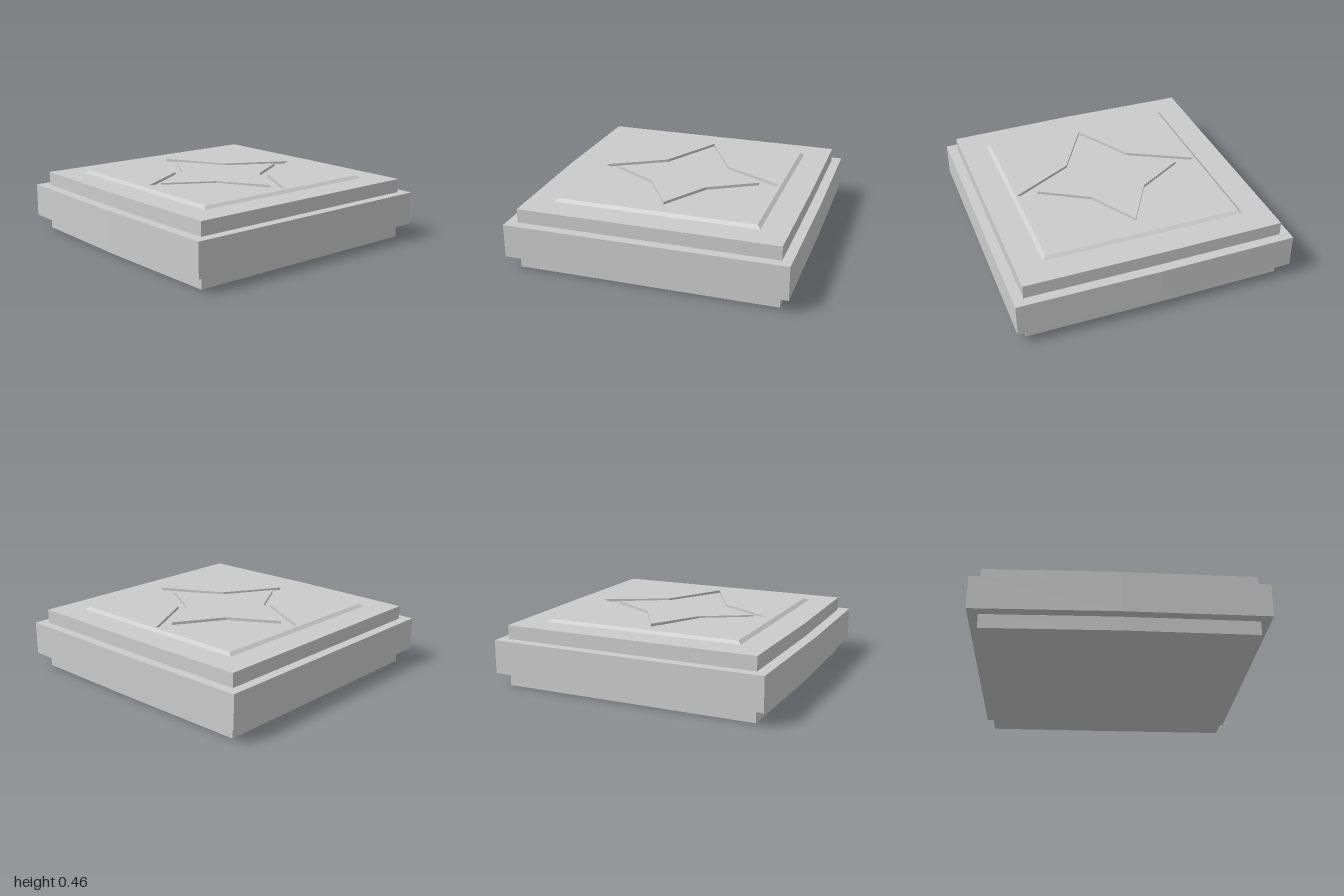
import * as THREE from 'three';

const material = new THREE.MeshStandardMaterial({ color: 0xcccccc, flatShading: true });

// Points are given as [x, z] on the ground plane
const toPoints = (list) => list.map(([x, z]) => new THREE.Vector2(x, -z));

// Upright slab with the given plan, from y0 to y1
function slab(name, plan, y0, y1, hole) {
  const shape = new THREE.Shape(toPoints(plan));
  if (hole) shape.holes.push(new THREE.Path(toPoints(hole)));
  const geometry = new THREE.ExtrudeGeometry(shape, { depth: y1 - y0, bevelEnabled: false });
  geometry.rotateX(-Math.PI / 2);
  geometry.translate(0, y0, 0);
  const mesh = new THREE.Mesh(geometry, material);
  mesh.name = name;
  return mesh;
}

// Square plan whose front and back edges bow out slightly in the middle
const bowedSquare = (half, front, back, bowFront, bowBack) => [
  [-half, front], [0, front + bowFront], [half, front],
  [half, back], [0, back - bowBack], [-half, back],
];

// Four-pointed star, mirrored left to right
const star = (backTip, sideTip, frontTip, notchX, notchBack, notchFront) => [
  [0, frontTip], [notchX, notchFront], [sideTip, -0.01], [notchX, notchBack],
  [0, backTip], [-notchX, notchBack], [-sideTip, -0.01], [-notchX, notchFront],
];

// Pushes the corners at one height outward for slightly sloping sides
function flareCorners(mesh, y, limit, factor) {
  const p = mesh.geometry.attributes.position;
  for (let i = 0; i < p.count; i++) {
    const x = p.getX(i), z = p.getZ(i);
    if (Math.abs(p.getY(i) - y) < 0.001 && Math.abs(x) > limit && Math.abs(z) > limit) {
      p.setXYZ(i, x * factor, p.getY(i), z * factor);
    }
  }
  mesh.geometry.computeVertexNormals();
}

export function createModel() {
  const group = new THREE.Group();
  group.name = 'starTile';

  // Three stacked tiers
  const narrow = bowedSquare(0.92, 0.91, -0.925, 0.015, 0.005);
  group.add(slab('baseTier', narrow, 0, 0.1));
  group.add(slab('middleTier', bowedSquare(0.99, 0.985, -0.992, 0.015, 0.008), 0.1, 0.337));
  group.add(slab('topTier', narrow, 0.337, 0.435));

  // Raised panel with a star-shaped opening
  const panelPlan = [[-0.7, 0.7], [0.7, 0.7], [0.7, -0.71], [-0.7, -0.71]];
  const panel = slab('panel', panelPlan, 0.435, 0.455, star(-0.7, 0.69, 0.64, 0.24, -0.25, 0.23));
  flareCorners(panel, 0.435, 0.65, 1.035);
  group.add(panel);

  // Smaller star standing inside the opening, leaving a groove around it
  group.add(slab('innerStar', star(-0.55, 0.54, 0.54, 0.2, -0.21, 0.2), 0.435, 0.455));

  return group;
}
